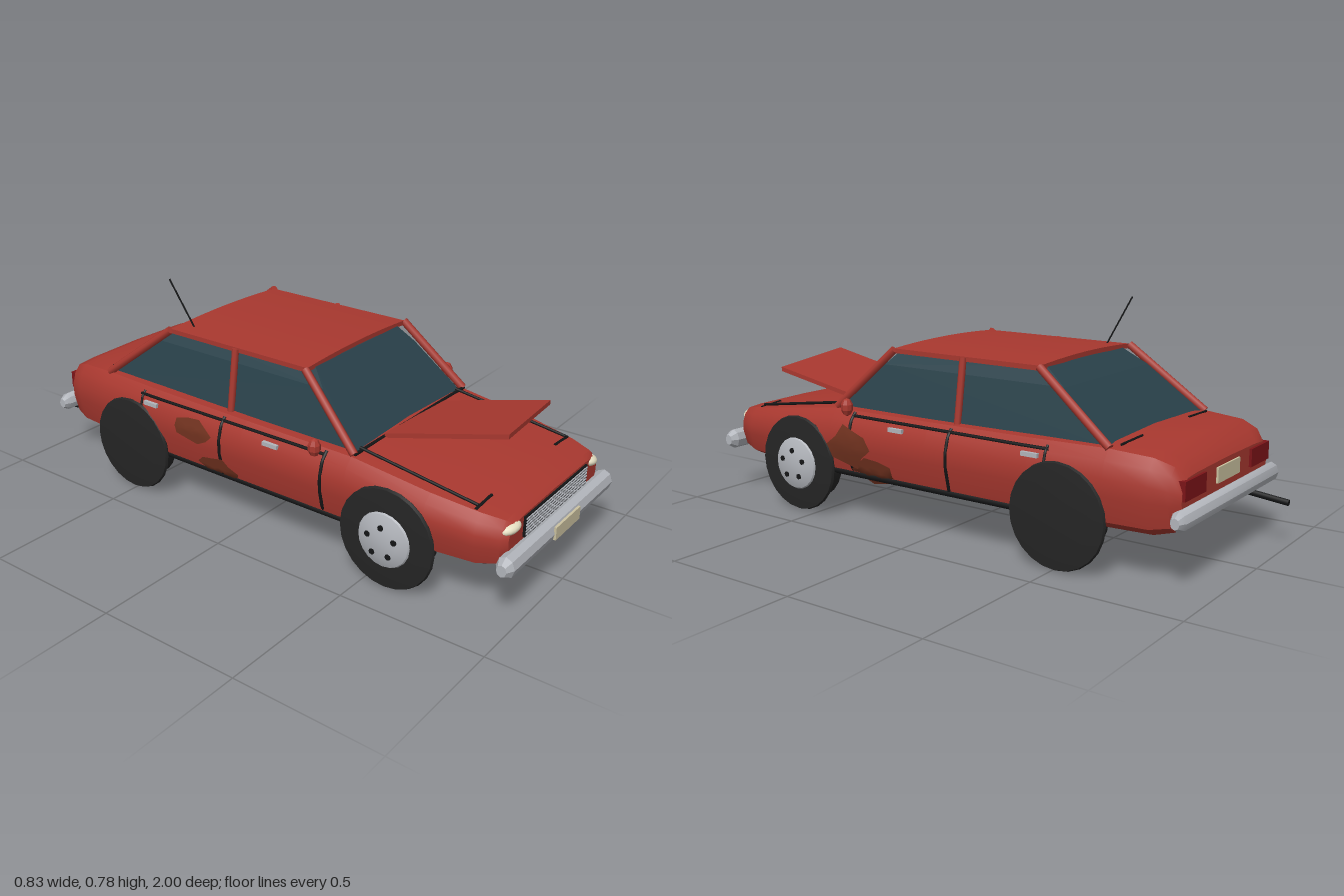
import * as THREE from 'three';
import { toCreasedNormals } from 'three/addons/utils/BufferGeometryUtils.js';
import { ConvexGeometry } from 'three/addons/geometries/ConvexGeometry.js';

const V = (x, y, z) => new THREE.Vector3(x, y, z);
const lerp = THREE.MathUtils.lerp;

// body stations: z, half width, bottom, top
const STATIONS = [
  [0.95, 0.30, 0.19, 0.312], [0.93, 0.32, 0.165, 0.324], [0.86, 0.345, 0.15, 0.337],
  [0.70, 0.37, 0.15, 0.36], [0.42, 0.38, 0.15, 0.397], [0, 0.38, 0.15, 0.40],
  [-0.4, 0.38, 0.15, 0.405], [-0.66, 0.37, 0.15, 0.408], [-0.8, 0.355, 0.15, 0.398],
  [-0.86, 0.335, 0.165, 0.375], [-0.89, 0.31, 0.20, 0.34],
];
// half cross-section: share of width, share of height
const SECTION = [[0, -0.01], [0.85, 0.02], [0.95, 0.12], [1, 0.45], [1, 0.65],
  [0.96, 0.85], [0.89, 0.97], [0.7, 1], [0, 1.02]];

// half width of the body at a given z and y
function sideX(z, y) {
  let i = 0;
  while (i < STATIONS.length - 2 && z < STATIONS[i + 1][0]) i++;
  const a = STATIONS[i], b = STATIONS[i + 1], k = (z - a[0]) / (b[0] - a[0]);
  const [w, lo, hi] = [1, 2, 3].map((n) => lerp(a[n], b[n], k));
  const t = THREE.MathUtils.clamp((y - lo) / (hi - lo), 0.02, 0.99);
  let j = 1;
  while (j < 7 && t > SECTION[j + 1][1]) j++;
  const p = SECTION[j], q = SECTION[j + 1];
  return w * lerp(p[0], q[0], (t - p[1]) / (q[1] - p[1]));
}

function bodyGeometry() {
  const ring = [...SECTION, ...SECTION.slice(1, -1).reverse().map(([x, t]) => [-x, t])];
  const n = ring.length, last = (STATIONS.length - 1) * n, pos = [], idx = [];
  for (const [z, w, lo, hi] of STATIONS) for (const [x, t] of ring) pos.push(x * w, lerp(lo, hi, t), z);
  for (let s = 0; s < last; s += n) for (let i = 0; i < n; i++) {
    const a = s + i, b = s + (i + 1) % n;
    idx.push(a, a + n, b, b, a + n, b + n);
  }
  for (let i = 1; i < n - 1; i++) idx.push(0, i, i + 1, last, last + i + 1, last + i);
  const g = new THREE.BufferGeometry();
  g.setAttribute('position', new THREE.Float32BufferAttribute(pos, 3));
  g.setIndex(idx);
  return toCreasedNormals(g, 0.6);
}

// irregular patch lying on one side of the body
function patchGeometry(side, cz, cy, rz, ry, radii) {
  const n = radii.length, pos = [], idx = [];
  const put = (z, y) => pos.push(side * (sideX(z, y) + 0.007), y, z);
  put(cz, cy);
  for (const f of [0.4, 0.7, 1]) radii.forEach((r, i) => {
    const a = (i / n) * Math.PI * 2;
    put(cz + Math.cos(a) * rz * r * f, cy + Math.sin(a) * ry * r * f);
  });
  for (let i = 0; i < n; i++) {
    const j = (i + 1) % n;
    idx.push(0, 1 + i, 1 + j);
    for (const o of [1, 1 + n]) idx.push(o + i, o + n + i, o + j, o + j, o + n + i, o + n + j);
  }
  const g = new THREE.BufferGeometry();
  g.setAttribute('position', new THREE.Float32BufferAttribute(pos, 3));
  g.setIndex(idx);
  g.computeVertexNormals();
  return g;
}

// lathe turned so that its axis lies along x
const turned = (pts, sides) => toCreasedNormals(
  new THREE.LatheGeometry(pts.map(([r, h]) => new THREE.Vector2(r, h)), sides).rotateZ(-Math.PI / 2), 0.5);

export function createModel() {
  const car = new THREE.Group();
  car.name = 'car';
  const mat = (name, color) => {
    const m = new THREE.MeshStandardMaterial({ color });
    m.name = name;
    return m;
  };
  const paint = mat('red paint', 0xa8382f), glass = mat('dark glass', 0x29414a);
  const chrome = mat('chrome', 0xb2b5bb), rubber = mat('rubber', 0x252525);
  const trim = mat('black trim', 0x141516), rust = mat('rust', 0x71321f);
  const lamp = mat('headlight cream', 0xe2dcc0), plate = mat('plate tan', 0xcbc2a0);
  const tail = mat('tail light red', 0x7d1418);
  rust.side = THREE.DoubleSide;

  const add = (name, geo, m, x = 0, y = 0, z = 0, parent = car) => {
    const mesh = new THREE.Mesh(geo, m);
    mesh.name = name;
    mesh.position.set(x, y, z);
    parent.add(mesh);
    return mesh;
  };
  const box = (name, m, w, h, d, x, y, z) => add(name, new THREE.BoxGeometry(w, h, d), m, x, y, z);
  const bar = (name, m, p, q, r, sides = 8) => {
    const mesh = add(name, new THREE.CylinderGeometry(r, r, p.distanceTo(q), sides), m);
    mesh.position.copy(p).lerp(q, 0.5);
    mesh.quaternion.setFromUnitVectors(V(0, 1, 0), q.clone().sub(p).normalize());
    return mesh;
  };
  // thin strip following the body side between two (z, y) points
  const strip = (name, side, [z0, y0], [z1, y1], r) => {
    const pts = [];
    for (let i = 0; i <= 8; i++) {
      const z = lerp(z0, z1, i / 8), y = lerp(y0, y1, i / 8);
      pts.push(V(side * sideX(z, y), y, z));
    }
    add(name, new THREE.TubeGeometry(new THREE.CatmullRomCurve3(pts), 16, r, 6), trim);
  };

  add('body', bodyGeometry(), paint);

  // cabin glass
  const hull = [];
  for (const s of [-1, 1]) hull.push(
    V(s * 0.31, 0.395, 0.42), V(s * 0.31, 0.395, -0.66), V(s * 0.268, 0.55, 0.258),
    V(s * 0.268, 0.55, -0.465), V(s * 0.237, 0.602, 0.205), V(s * 0.237, 0.602, -0.385));
  add('cabinGlass', new ConvexGeometry(hull), glass);

  // slightly domed roof
  const roof = new THREE.BoxGeometry(0.56, 0.016, 0.59, 10, 1, 1);
  const rp = roof.attributes.position;
  for (let i = 0; i < rp.count; i++) rp.setY(i, rp.getY(i) + 0.01 * (1 - (rp.getX(i) / 0.28) ** 2));
  add('roof', toCreasedNormals(roof, 0.5), paint, 0, 0.603, -0.09);

  // raised, crooked hood panel
  const [A, B, C, D] = [V(-0.17, 0.40, 0.43), V(0.19, 0.388, 0.43), V(0.235, 0.473, 0.80), V(-0.125, 0.498, 0.84)];
  const hood = new THREE.BoxGeometry(1, 1, 1), hp = hood.attributes.position;
  for (let i = 0; i < hp.count; i++) {
    const u = hp.getX(i) + 0.5, v = hp.getZ(i) + 0.5, t = hp.getY(i) * 0.016;
    const p = A.clone().lerp(B, u).lerp(D.clone().lerp(C, u), v);
    hp.setXYZ(i, p.x, p.y + t, p.z);
  }
  hood.computeVertexNormals();
  add('hoodPanel', hood, paint);
  bar('cowlSeam', trim, V(-0.33, 0.396, 0.428), V(0.33, 0.396, 0.428), 0.006);

  // wheel shapes
  const tyre = turned([[0, 0.305], [0.142, 0.305], [0.142, 0.366], [0.168, 0.368], [0.172, 0.374],
    [0.168, 0.383], [0.12, 0.388], [0, 0.388]], 24);
  const cap = turned([[0.095, 0.386], [0.09, 0.394], [0.055, 0.408], [0, 0.409]], 20);

  for (const s of [-1, 1]) {
    const side = s > 0 ? 'left' : 'right';
    // pillars
    bar(side + 'FrontPillar', paint, V(s * 0.33, 0.395, 0.425), V(s * 0.284, 0.608, 0.20), 0.014);
    bar(side + 'MiddlePillar', paint, V(s * 0.315, 0.39, -0.09), V(s * 0.283, 0.608, -0.09), 0.012);
    bar(side + 'RearPillar', paint, V(s * 0.325, 0.40, -0.66), V(s * 0.284, 0.608, -0.385), 0.014);

    // seams, trim and handles
    strip(side + 'WaistTrim', s, [0.33, 0.375], [-0.47, 0.375], 0.006);
    strip(side + 'FrontDoorSeam', s, [0.33, 0.17], [0.33, 0.385], 0.006);
    strip(side + 'RearDoorSeam', s, [-0.09, 0.18], [-0.09, 0.385], 0.006);
    strip(side + 'QuarterSeam', s, [-0.46, 0.33], [-0.46, 0.385], 0.005);
    strip(side + 'Sill', s, [0.42, 0.172], [-0.36, 0.172], 0.015);
    for (const z of [0.125, -0.41]) box(side + 'DoorHandle', chrome, 0.012, 0.014, 0.06, s * (sideX(z, 0.354) + 0.005), 0.354, z);
    bar(side + 'HoodSeam', trim, V(s * 0.29, 0.342, 0.84), V(s * 0.29, 0.402, 0.42), 0.005);
    bar(side + 'NoseSeam', trim, V(s * 0.21, 0.341, 0.84), V(s * 0.305, 0.334, 0.84), 0.005);
    bar(side + 'TrunkSeam', trim, V(s * 0.16, 0.41, -0.68), V(s * 0.29, 0.407, -0.68), 0.004);

    // mirror
    add(side + 'Mirror', toCreasedNormals(new THREE.SphereGeometry(1, 8, 5).scale(0.021, 0.031, 0.022), 0.1),
      paint, s * 0.395, 0.414, 0.32);

    // lights
    const head = add(side + 'Headlight', new THREE.SphereGeometry(1, 16, 10).scale(0.042, 0.019, 0.03), lamp,
      s * 0.271, 0.292, 0.932);
    head.rotation.set(0, s * 0.35, -s * 0.18);
    box(side + 'TailLight', tail, 0.14, 0.06, 0.034, s * 0.237, 0.302, -0.882);

    // wheels, with caps on the front pair only
    for (const z of [0.58, -0.51]) {
      const wheel = new THREE.Group();
      wheel.name = side + (z > 0 ? 'FrontWheel' : 'RearWheel');
      wheel.position.set(0, 0.176, z);
      if (s < 0) wheel.rotation.y = Math.PI;
      car.add(wheel);
      add('tyre', tyre, rubber, 0, 0, 0, wheel);
      if (z < 0) continue;
      add('hubCap', cap, chrome, 0, 0, 0, wheel);
      for (let i = 0; i < 5; i++) {
        const a = i * Math.PI * 0.4 + Math.PI / 2;
        add('hubHole', new THREE.CylinderGeometry(0.01, 0.01, 0.006, 8).rotateZ(Math.PI / 2), trim,
          0.408, Math.sin(a) * 0.05, Math.cos(a) * 0.05, wheel);
      }
    }
  }

  // rust patches
  const ragged = [1, 0.8, 1, 0.9, 1, 0.85, 0.95, 0.8, 1, 0.9];
  const jagged = [1, 0.7, 1, 0.75, 0.9, 1, 0.7, 1, 0.8, 1];
  add('rightDoorRust', patchGeometry(-1, -0.21, 0.314, 0.09, 0.045, ragged), rust);
  add('rightSillRust', patchGeometry(-1, -0.105, 0.2, 0.09, 0.045, jagged), rust);
  add('leftFenderRust', patchGeometry(1, 0.33, 0.27, 0.1, 0.08, jagged), rust);
  add('leftSillRust', patchGeometry(1, 0.23, 0.19, 0.1, 0.055, ragged), rust);

  // bumpers and plates
  const bumper = (r) => turned([[0, -0.365], [r * 0.55, -0.365], [r, -0.34], [r, 0.34], [r * 0.55, 0.365], [0, 0.365]], 8)
    .scale(1, 1, 0.85);
  add('frontBumper', bumper(0.036), chrome, 0, 0.202, 0.965);
  add('rearBumper', bumper(0.032), chrome, 0, 0.222, -0.897);
  box('frontPlate', plate, 0.168, 0.044, 0.008, 0, 0.204, 0.996);
  box('rearPlate', plate, 0.16, 0.05, 0.008, 0, 0.3, -0.893);

  // grille
  box('grille', trim, 0.424, 0.068, 0.014, 0, 0.272, 0.95);
  for (let i = 0; i < 6; i++) box('grilleSlat', chrome, 0.416, 0.005, 0.006, 0, 0.246 + i * 0.0105, 0.957);

  // aerial and tailpipe
  bar('aerial', trim, V(-0.222, 0.612, -0.33), V(-0.251, 0.778, -0.41), 0.003, 6);
  bar('tailpipe', trim, V(-0.245, 0.172, -0.82), V(-0.245, 0.153, -1.0), 0.011);

  return car;
}
